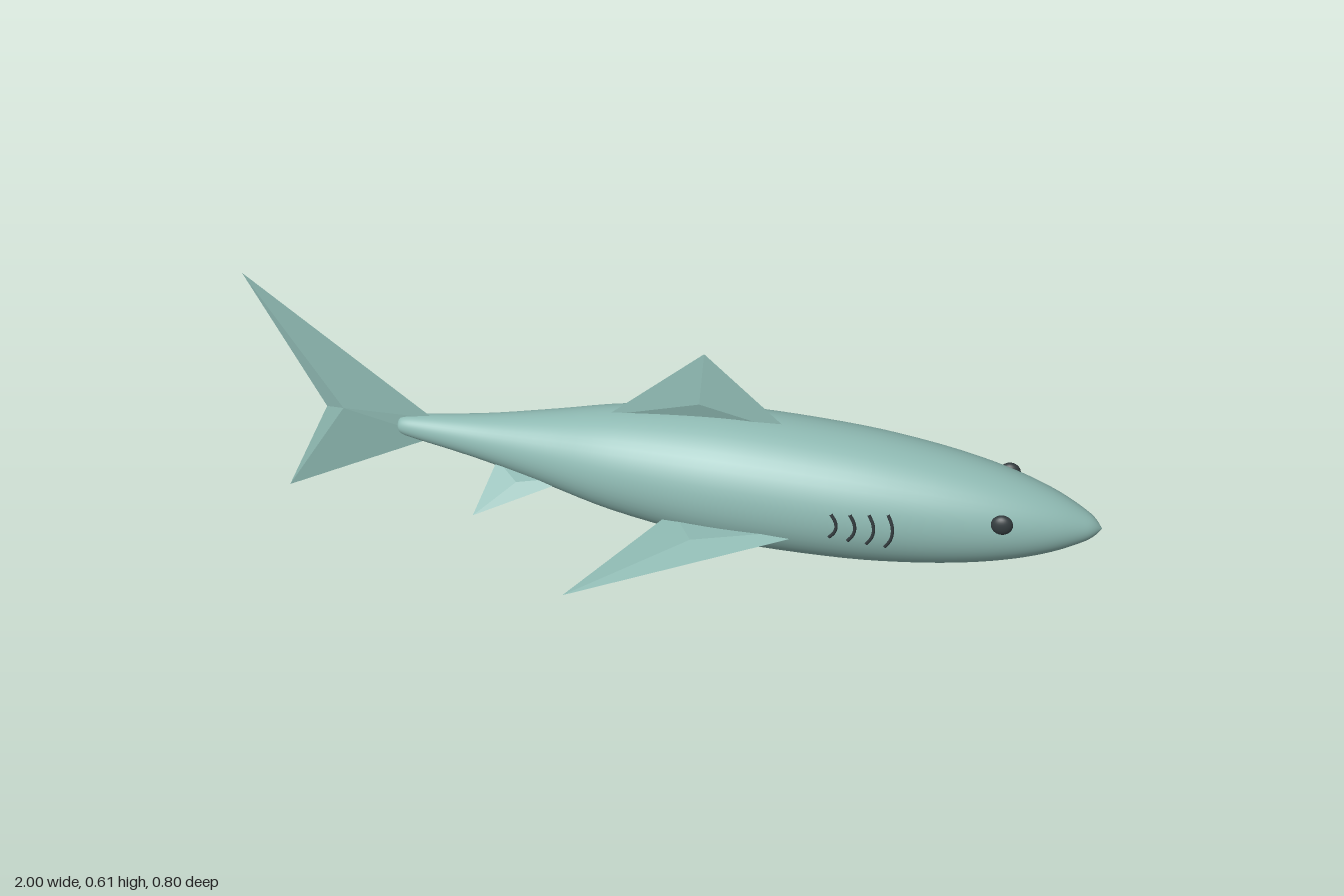
import * as THREE from 'three';

const skin = new THREE.MeshStandardMaterial({ color: 0x8fbab3, name: 'paleTealSkin' });
const finSkin = new THREE.MeshStandardMaterial({ color: 0x8fbab3, name: 'paleTealFin', flatShading: true });
const dark = new THREE.MeshStandardMaterial({ color: 0x343c3f, name: 'charcoal' });

const AXIS_Y = 0.24;

// Body radius along the length, tail to nose: [x, radius]
const PROFILE = [
  [-0.65, 0], [-0.645, 0.017], [-0.63, 0.025], [-0.59, 0.032], [-0.5, 0.045], [-0.4, 0.062],
  [-0.257, 0.092], [-0.1, 0.126], [0.1, 0.151], [0.25, 0.157], [0.45, 0.152], [0.6, 0.138],
  [0.72, 0.119], [0.82, 0.095], [0.9, 0.067], [0.96, 0.037], [0.985, 0.019], [1.0, 0],
];

function radiusAt(x) {
  const i = Math.max(1, PROFILE.findIndex((p) => p[0] >= x));
  const [x0, r0] = PROFILE[i - 1], [x1, r1] = PROFILE[i];
  return r0 + ((r1 - r0) * (x - x0)) / (x1 - x0);
}

function add(parent, name, geometry, material) {
  const mesh = new THREE.Mesh(geometry, material);
  mesh.name = name;
  parent.add(mesh);
  return mesh;
}

// Fin: an outline rising to a ridge point on both faces
function finGeometry(outline, thickness) {
  const pts = outline.map((p) => new THREE.Vector3(...p));
  const centre = new THREE.Vector3();
  const normal = new THREE.Vector3();
  pts.forEach((p, i) => {
    centre.addScaledVector(p, 1 / pts.length);
    normal.add(p.clone().cross(pts[(i + 1) % pts.length]));
  });
  normal.normalize();
  const high = centre.clone().addScaledVector(normal, thickness);
  const low = centre.clone().addScaledVector(normal, -thickness);
  const tris = [];
  pts.forEach((p, i) => {
    const q = pts[(i + 1) % pts.length];
    tris.push(p, q, high, q, p, low);
  });
  const geo = new THREE.BufferGeometry().setFromPoints(tris);
  geo.computeVertexNormals();
  return geo;
}

export function createModel() {
  const fish = new THREE.Group();
  fish.name = 'shark';

  // Spindle body
  const spline = new THREE.SplineCurve(PROFILE.map(([x, r]) => new THREE.Vector2(r, x)));
  const points = spline.getPoints(68).map((p) => new THREE.Vector2(Math.max(0, p.x), p.y));
  const bodyGeo = new THREE.LatheGeometry(points, 48);
  bodyGeo.rotateZ(-Math.PI / 2);
  bodyGeo.translate(0, AXIS_Y, 0);
  add(fish, 'body', bodyGeo, skin);

  // Fins on the centre line
  add(fish, 'dorsalFin', finGeometry([[-0.13, 0.353, 0], [0.095, 0.555, 0], [0.3, 0.375, 0]], 0.013), finSkin);
  add(fish, 'tailFin', finGeometry([
    [-0.56, 0.27, 0], [-1, 0.605, 0], [-0.83, 0.26, 0], [-0.96, 0, 0], [-0.56, 0.215, 0],
  ], 0.012), finSkin);

  // Paired parts
  for (const [side, s] of [['left', 1], ['right', -1]]) {
    // With the nose along +x, these sides are the +z and -z flanks
    const flank = new THREE.Group();
    flank.name = s > 0 ? 'frontFlank' : 'rearFlank';
    fish.add(flank);

    add(flank, 'pectoralFin', finGeometry([
      [0.42, 0.206, s * 0.1], [0.05, 0.183, s * 0.1], [-0.125, 0.145, s * 0.4],
    ], 0.014), finSkin);
    add(flank, 'pelvicFin', finGeometry([
      [-0.19, 0.195, s * 0.04], [-0.39, 0.207, s * 0.04], [-0.41, 0.138, s * 0.172],
    ], 0.009), finSkin);

    const eye = add(flank, 'eye', new THREE.SphereGeometry(0.024, 24, 16), dark);
    eye.scale.z = 0.62;
    eye.position.set(0.785, 0.285, s * 0.099);

    // Gill slits: bowed tubes lying on the skin
    [0.418, 0.459, 0.5, 0.541].forEach((x, i) => {
      const half = 0.03 + i * 0.004;
      const path = [-1, -0.5, 0, 0.5, 1].map((t) => {
        const px = x + 0.014 * (1 - t * t);
        const dy = 0.012 + t * half;
        const r = radiusAt(px) + 0.001;
        return new THREE.Vector3(px, AXIS_Y + dy, s * Math.sqrt(r * r - dy * dy));
      });
      add(flank, 'gillSlit', new THREE.TubeGeometry(new THREE.CatmullRomCurve3(path), 12, 0.004, 6), dark);
    });
  }
  return fish;
}
